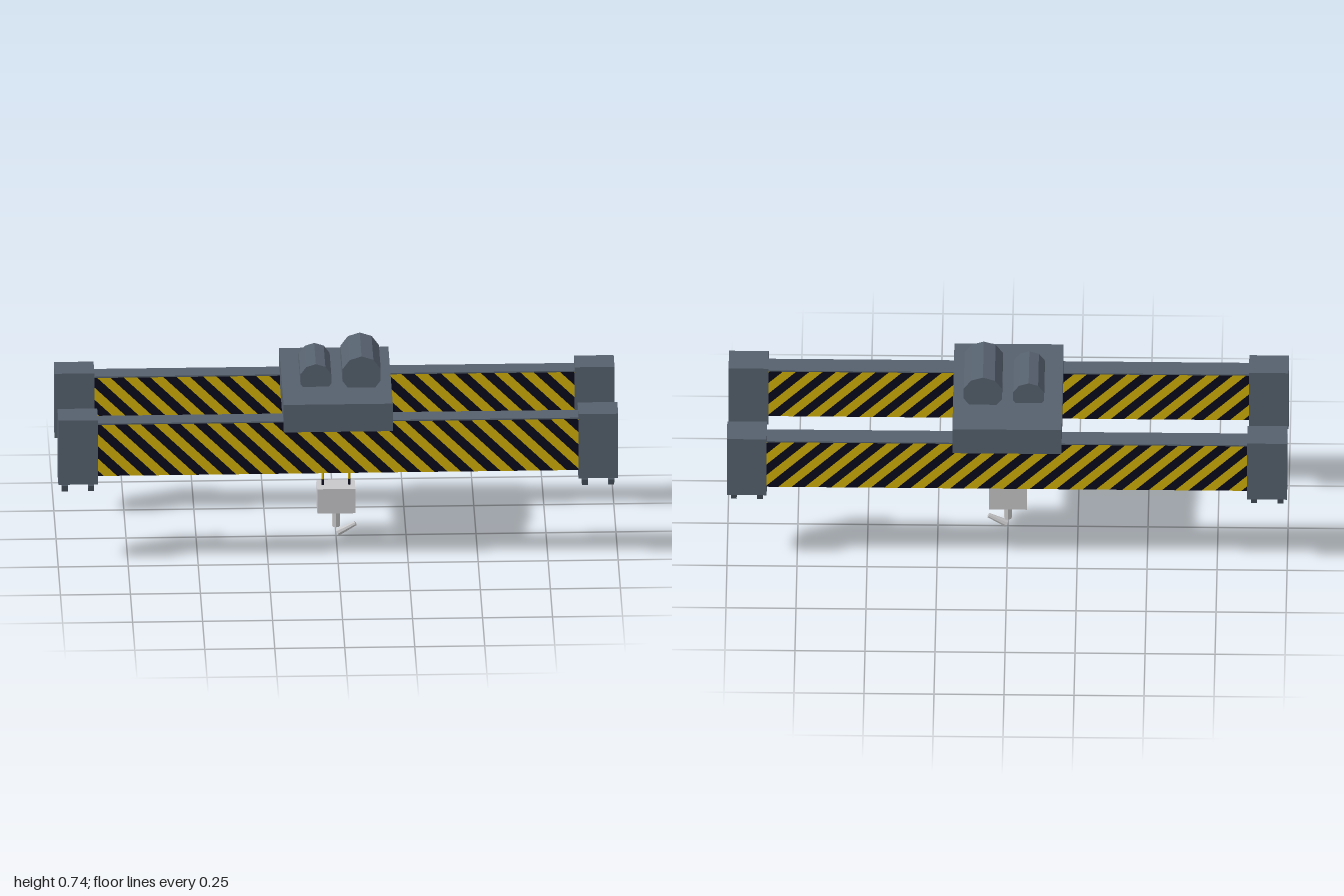
import * as THREE from 'three';
import { mergeGeometries } from 'three/addons/utils/BufferGeometryUtils.js';

const makeMaterial = (name, color) => {
  const m = new THREE.MeshStandardMaterial({ color });
  m.name = name;
  return m;
};

// Hazard stripes run along lines of constant x + y
const PERIOD = 0.0945, YELLOW_START = 0.269, YELLOW_WIDTH = 0.0472;

// Calls fn(from, to, isYellow) for each stripe between lo and hi
function eachStripe(lo, hi, fn) {
  const first = Math.floor((lo - YELLOW_START) / PERIOD);
  for (let k = first; YELLOW_START + k * PERIOD < hi; k++) {
    const a = YELLOW_START + k * PERIOD, mid = a + YELLOW_WIDTH;
    for (const [s, e, yellow] of [[a, mid, true], [mid, a + PERIOD, false]]) {
      const from = Math.max(s, lo), to = Math.min(e, hi);
      if (to - from > 1e-4) fn(from, to, yellow);
    }
  }
}

// Slanted slab between x + y = a and x + y = b, cut to the girder's outline
function stripeSlab(a, b, half, y0, y1, depth) {
  const lower = c => { const y = Math.max(y0, c - half); return new THREE.Vector2(c - y, y); };
  const upper = c => { const y = Math.min(y1, c + half); return new THREE.Vector2(c - y, y); };
  const pts = [lower(a)];
  if (a < half + y0 && half + y0 < b) pts.push(new THREE.Vector2(half, y0));
  pts.push(lower(b), upper(b));
  if (a < y1 - half && y1 - half < b) pts.push(new THREE.Vector2(-half, y1));
  pts.push(upper(a));
  const clean = pts.filter((p, i) => p.distanceTo(pts[(i + 1) % pts.length]) > 1e-6);
  return new THREE.ExtrudeGeometry(new THREE.Shape(clean), { depth, bevelEnabled: false })
    .translate(0, 0, -depth / 2);
}

// Faceted cylinder with flat normals
function facetedCylinder(rTop, rBottom, length, sides) {
  const g = new THREE.CylinderGeometry(rTop, rBottom, length, sides).toNonIndexed();
  g.computeVertexNormals();
  return g;
}

export function createModel() {
  const crane = new THREE.Group();
  crane.name = 'overheadCrane';
  const slate = makeMaterial('slateSteel', 0x56616e);
  const yellow = makeMaterial('hazardYellow', 0xd2b006);
  const black = makeMaterial('hazardBlack', 0x0a0a1c);
  const silver = makeMaterial('lightSteel', 0xc8c8ca);

  const add = (name, geometry, material, x = 0, y = 0, z = 0, parent = crane) => {
    const mesh = new THREE.Mesh(geometry, material);
    mesh.name = name;
    mesh.position.set(x, y, z);
    parent.add(mesh);
    return mesh;
  };
  const box = (w, h, d) => new THREE.BoxGeometry(w, h, d);

  // Striped girders with plain top plates
  const half = 0.862, y0 = 0.35, y1 = 0.549, depth = 0.07;
  const slabs = { yellow: [], black: [] };
  eachStripe(y0 - half, y1 + half, (a, b, isYellow) =>
    slabs[isYellow ? 'yellow' : 'black'].push(stripeSlab(a, b, half, y0, y1, depth)));
  const yellowStripes = mergeGeometries(slabs.yellow);
  const blackStripes = mergeGeometries(slabs.black);

  const blockGeo = box(0.142, 0.25, 0.105);
  const wheelGeo = facetedCylinder(0.035, 0.035, 0.021, 8).rotateZ(Math.PI / 2);
  for (const side of [1, -1]) {
    const z = side * 0.209;
    const girder = new THREE.Group();
    girder.name = side > 0 ? 'frontGirder' : 'backGirder';
    girder.position.z = z;
    crane.add(girder);
    add('yellowStripes', yellowStripes, yellow, 0, 0, 0, girder);
    add('blackStripes', blackStripes, black, 0, 0, 0, girder);
    add('topPlate', box(2 * half, 0.005, depth), slate, 0, 0.5515, 0, girder);

    // End blocks, each on a pair of wheels
    for (const end of [1, -1]) {
      const carriage = new THREE.Group();
      carriage.name = end > 0 ? 'leftEndCarriage' : 'rightEndCarriage';
      carriage.position.x = end * 0.929;
      girder.add(carriage);
      add('endBlock', blockGeo, slate, 0, 0.45, 0, carriage);
      for (const s of [1, -1]) add('wheel', wheelGeo, slate, s * 0.047, 0.312, 0, carriage);
    }
  }

  // Trolley with two hoist drums
  add('trolley', box(0.39, 0.107, 0.508), slate, 0, 0.5685, 0);
  add('smallDrum', facetedCylinder(0.058, 0.058, 0.19, 10).rotateX(Math.PI / 2), slate, -0.075, 0.652, 0);
  add('largeDrum', facetedCylinder(0.072, 0.072, 0.214, 10).rotateX(Math.PI / 2), slate, 0.088, 0.671, 0);

  // Striped hoist ropes
  for (const x of [0.047, -0.047]) {
    eachStripe(x + 0.198, x + 0.516, (a, b, isYellow) =>
      add(isYellow ? 'ropeYellow' : 'ropeBlack', facetedCylinder(0.005, 0.005, b - a, 8),
        isYellow ? yellow : black, x, (a + b) / 2 - x, 0));
  }

  // Hook block, shank and tapered hook tip
  add('hookBlock', box(0.136, 0.095, 0.084), silver, 0, 0.1515, 0);
  add('hookShank', facetedCylinder(0.0145, 0.0145, 0.07, 8), silver, 0, 0.073, 0);
  const from = new THREE.Vector2(0.006, 0.012), to = new THREE.Vector2(0.07, 0.047);
  const tip = add('hookTip', facetedCylinder(0.0085, 0.0135, from.distanceTo(to), 8), silver,
    (from.x + to.x) / 2, (from.y + to.y) / 2, 0);
  tip.rotation.z = -Math.atan2(to.x - from.x, to.y - from.y);

  return crane;
}
